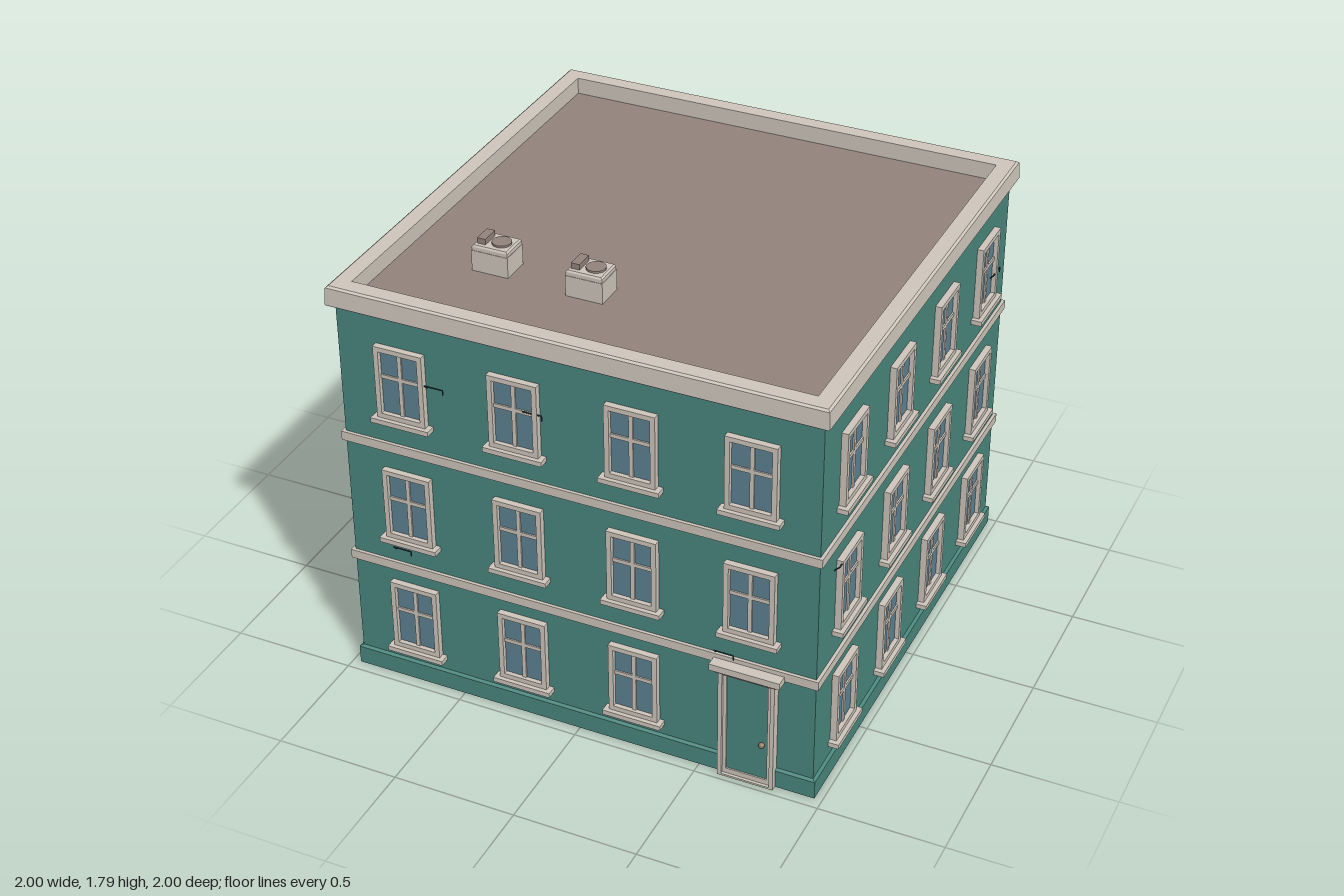
import * as THREE from 'three';

const mat = (name, color) => Object.assign(new THREE.MeshStandardMaterial({ color }), { name });
const M = {
  wall: mat('teal plaster', 0x4a877e),
  trim: mat('pale stone', 0xcfc7bc),
  roof: mat('brown roofing', 0x93847b),
  glass: mat('blue glass', 0x5f8294),
  wire: mat('dark metal', 0x2a4650),
  knob: mat('bronze', 0x8c7a64),
};

function add(parent, name, geo, material, x = 0, y = 0, z = 0) {
  const m = new THREE.Mesh(geo, material);
  m.name = name;
  m.position.set(x, y, z);
  parent.add(m);
  return m;
}
const box = (w, h, d) => new THREE.BoxGeometry(w, h, d);

// Square solid of revolution: [half width, y] points, outer side running upwards
function squareLathe(points) {
  const pts = points.map(([r, y]) => new THREE.Vector2(r * Math.SQRT2, y));
  const g = new THREE.LatheGeometry(pts, 4).rotateY(Math.PI / 4).toNonIndexed();
  g.computeVertexNormals();
  return g;
}

// Rectangular frame in the xy plane, standing on y = 0, back at z = 0
function frame(w, h, side, bottom, top, depth) {
  const rect = (P, x0, y0, x1, y1) => {
    const p = new P();
    p.moveTo(x0, y0);
    p.lineTo(x1, y0);
    p.lineTo(x1, y1);
    p.lineTo(x0, y1);
    p.closePath();
    return p;
  };
  const s = rect(THREE.Shape, -w / 2, 0, w / 2, h);
  s.holes.push(rect(THREE.Path, -w / 2 + side, bottom, w / 2 - side, h - top));
  return new THREE.ExtrudeGeometry(s, { depth, bevelEnabled: false });
}

const WALL = 0.957;
const COLUMNS = [-0.6975, -0.2325, 0.2325, 0.6975];
const ROWS = [0.13, 0.652, 1.195];

const windowFrame = frame(0.2, 0.305, 0.02, 0.02, 0.02, 0.026);
function makeWindow() {
  const g = new THREE.Group();
  g.name = 'window';
  add(g, 'windowFrame', windowFrame, M.trim, 0, 0.02, 0);
  add(g, 'windowGlass', box(0.165, 0.27, 0.008), M.glass, 0, 0.172, 0.004);
  add(g, 'verticalBar', box(0.016, 0.27, 0.012), M.trim, 0, 0.172, 0.008);
  add(g, 'crossBar', box(0.165, 0.016, 0.012), M.trim, 0, 0.195, 0.008);
  add(g, 'windowSill', box(0.24, 0.02, 0.043), M.trim, 0, 0.01, 0.0215);
  return g;
}

// Short bent wire fixed to the wall
function addWire(face, x, y) {
  const pts = [[-0.038, -0.02, 0], [-0.038, 0, 0.02], [0.038, 0, 0.02], [0.038, -0.02, 0.02]];
  const path = new THREE.CurvePath();
  for (let i = 0; i < 3; i++) {
    path.add(new THREE.LineCurve3(new THREE.Vector3(...pts[i]), new THREE.Vector3(...pts[i + 1])));
  }
  add(face, 'wallWire', new THREE.TubeGeometry(path, 18, 0.003, 5), M.wire, x, y, 0);
}

function makeDoor() {
  const g = new THREE.Group();
  g.name = 'door';
  add(g, 'doorFrame', frame(0.225, 0.495, 0.016, 0.008, 0.016, 0.036), M.trim);
  add(g, 'doorSurround', frame(0.197, 0.475, 0.016, 0.024, 0.012, 0.024), M.trim, 0, 0.006, 0);
  add(g, 'doorLeaf', box(0.17, 0.45, 0.018), M.wall, 0, 0.247, 0.009);
  add(g, 'doorKnob', new THREE.SphereGeometry(0.012, 12, 8), M.knob, 0.06, 0.19, 0.024);
  add(g, 'hoodMoulding', box(0.245, 0.012, 0.048), M.trim, 0, 0.498, 0.024);
  add(g, 'doorHood', box(0.28, 0.028, 0.058), M.trim, 0, 0.517, 0.029);
  return g;
}

function makeRoofUnit() {
  const g = new THREE.Group();
  g.name = 'roofUnit';
  add(g, 'unitBody', box(0.15, 0.085, 0.12), M.trim, 0, 0.0425, 0);
  const lid = squareLathe([[0.5, 0.085], [0.5, 0.1], [0.46, 0.107], [0, 0.107]]);
  add(g, 'unitLid', lid, M.trim).scale.set(0.146, 1, 0.116);
  add(g, 'unitFan', new THREE.CylinderGeometry(0.038, 0.038, 0.008, 16), M.roof, 0.022, 0.111, 0);
  add(g, 'unitVent', box(0.034, 0.026, 0.076), M.roof, -0.043, 0.117, 0);
  return g;
}

export function createModel() {
  const model = new THREE.Group();
  model.name = 'building';
  const body = new THREE.Group();
  body.name = 'body';
  body.position.z = -0.015;
  model.add(body);

  // Walls, plinth and storey bands
  add(body, 'walls', box(WALL * 2, 1.6, WALL * 2), M.wall, 0, 0.845, 0);
  add(body, 'plinth', squareLathe([[0, 0], [0.969, 0], [0.969, 0.076], [0.957, 0.083], [0.9, 0.083]]), M.wall);
  for (const y of [0.53, 1.076]) add(body, 'storeyBand', box(1.94, 0.038, 1.94), M.trim, 0, y, 0);

  // Parapet cornice and sunken roof
  const cornice = [[0.91, 1.645], [0.982, 1.645], [0.985, 1.65], [0.981, 1.718], [0.972, 1.725], [0.91, 1.725], [0.91, 1.645]];
  add(body, 'cornice', squareLathe(cornice), M.trim);
  add(body, 'roofDeck', box(1.82, 0.055, 1.82), M.roof, 0, 1.629, 0);
  for (const [x, z] of [[-0.538, 0.495], [-0.142, 0.515]]) {
    const unit = makeRoofUnit();
    unit.position.set(x, 1.656, z);
    body.add(unit);
  }

  // Three windowed faces: the angle turns each one outwards, the back stays blank
  const faces = [
    { name: 'frontFace', angle: 0, wires: [[-0.555, 1.4], [-0.153, 1.4], [-0.735, 0.625], [0.6, 0.568]] },
    { name: 'leftFace', angle: Math.PI / 2, wires: [[0.8, 1.32], [-0.78, 0.965]] },
    { name: 'rightFace', angle: -Math.PI / 2, wires: [[0.43, 1.42], [-0.43, 1.145]] },
  ];
  for (const { name, angle, wires } of faces) {
    const face = new THREE.Group();
    face.name = name;
    face.rotation.y = angle;
    face.position.set(Math.sin(angle) * WALL, 0, Math.cos(angle) * WALL);
    body.add(face);
    ROWS.forEach((y, row) => COLUMNS.forEach((x, col) => {
      const isDoor = angle === 0 && row === 0 && col === 3;
      const part = isDoor ? makeDoor() : makeWindow();
      part.position.set(x, isDoor ? 0 : y, 0);
      face.add(part);
    }));
    wires.forEach(([x, y]) => addWire(face, x, y));
  }
  return model;
}
